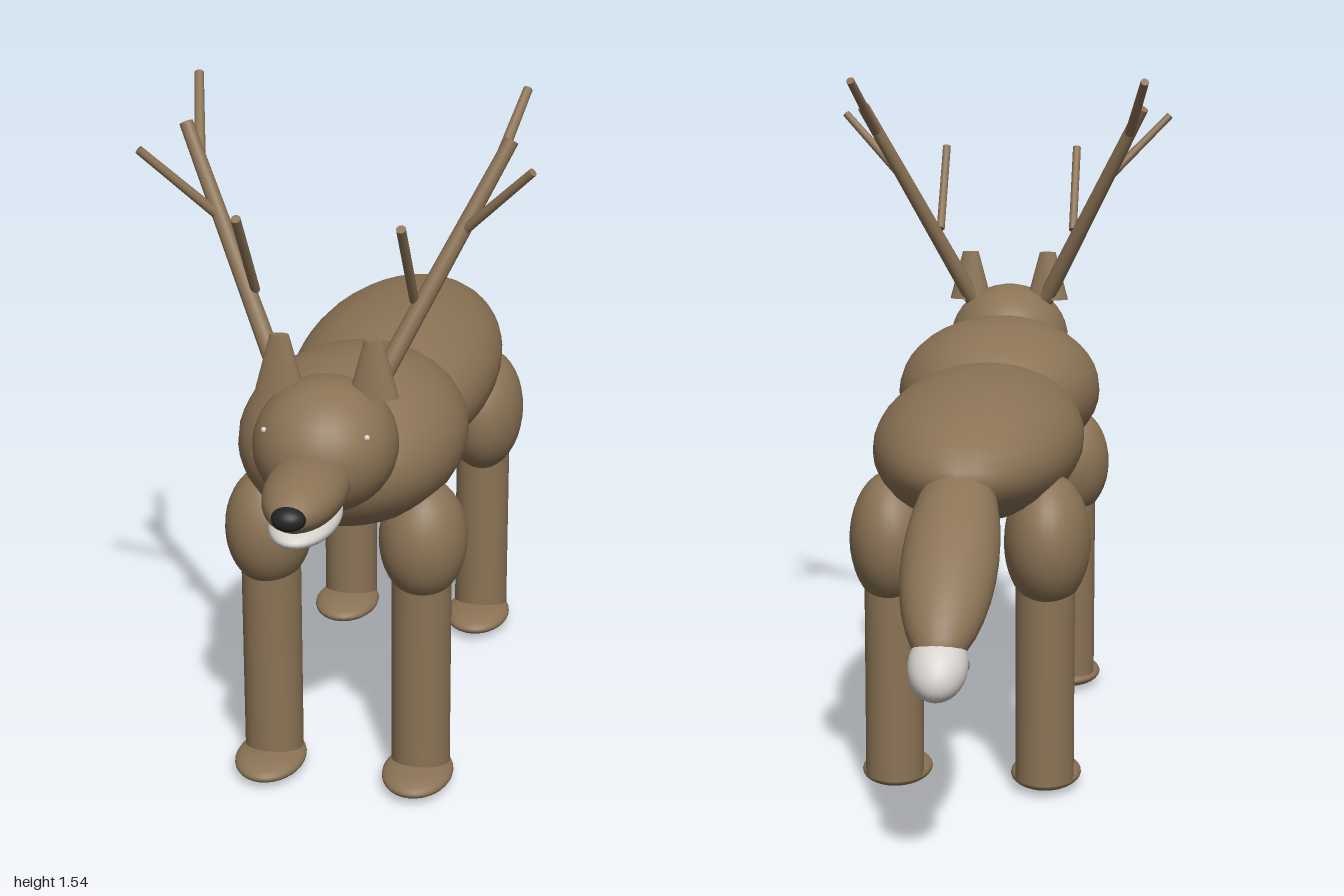
import * as THREE from 'three';

export function createModel() {
  const root = new THREE.Group();
  const mat = (name, color) => {
    const m = new THREE.MeshStandardMaterial({ color });
    m.name = name;
    return m;
  };
  const brown = mat('brown fur', 0x8b7355);
  const white = mat('pale fur', 0xd6d2cd);
  const black = mat('nose black', 0x242424);

  const add = (name, geo, material, parent = root) => {
    const mesh = new THREE.Mesh(geo, material);
    mesh.name = name;
    parent.add(mesh);
    return mesh;
  };

  // Ellipsoid from centre and radii, with optional pitch about x
  const ball = (name, material, [x, y, z], [rx, ry, rz], pitch = 0, parent = root) => {
    const geo = new THREE.SphereGeometry(1, 32, 20).scale(rx, ry, rz);
    const mesh = add(name, geo, material, parent);
    mesh.position.set(x, y, z);
    mesh.rotation.x = pitch;
    return mesh;
  };

  // Tapered rod between two points
  const rod = (name, from, to, r0, r1, parent) => {
    const a = new THREE.Vector3(...from), b = new THREE.Vector3(...to);
    const dir = b.clone().sub(a);
    const mesh = add(name, new THREE.CylinderGeometry(r1, r0, dir.length(), 12), brown, parent);
    mesh.position.copy(a).addScaledVector(dir, 0.5);
    mesh.quaternion.setFromUnitVectors(new THREE.Vector3(0, 1, 0), dir.normalize());
  };

  // Trunk
  ball('body', brown, [0, 0.745, -0.1], [0.235, 0.155, 0.5]);
  ball('chest', brown, [0, 0.778, 0.38], [0.245, 0.175, 0.32]);
  ball('belly', white, [0, 0.69, 0.15], [0.171, 0.1, 0.4]);

  // Head
  ball('head', brown, [0, 0.86, 0.65], [0.15, 0.14, 0.16]);
  ball('snout', brown, [0, 0.832, 0.82], [0.083, 0.062, 0.168]);
  ball('jaw', white, [0, 0.773, 0.83], [0.07, 0.03, 0.135]);
  ball('nose', black, [0, 0.834, 0.97], [0.035, 0.025, 0.03]);

  // Tail, sloping down and back
  const slope = -0.54;
  ball('tail', brown, [0, 0.615, -0.7], [0.1, 0.085, 0.295], slope);
  ball('tailTip', white, [0, 0.453, -0.923], [0.06, 0.055, 0.085], slope);

  for (const s of [1, -1]) {
    const side = s > 0 ? 'left' : 'right';

    // Eye and ear
    ball(side + 'Eye', white, [s * 0.106, 0.918, 0.742], [0.006, 0.006, 0.006]);
    const ear = add(side + 'Ear', new THREE.CylinderGeometry(0.02, 0.052, 0.12, 20), brown);
    ear.scale.z = 0.5;
    ear.position.set(s * 0.098, 1.025, 0.635);

    // Antler with three tines
    const antler = new THREE.Group();
    antler.name = side + 'Antler';
    root.add(antler);
    rod('beam', [s * 0.085, 0.95, 0.635], [s * 0.34, 1.46, 0.432], 0.021, 0.015, antler);
    rod('frontTine', [s * 0.166, 1.15, 0.56], [s * 0.166, 1.345, 0.7], 0.01, 0.01, antler);
    rod('outerTine', [s * 0.25, 1.28, 0.5], [s * 0.403, 1.435, 0.565], 0.011, 0.009, antler);
    rod('topTine', [s * 0.31, 1.4, 0.44], [s * 0.35, 1.53, 0.29], 0.012, 0.01, antler);

    // Legs: upper mass, straight shank, flat foot
    const legs = [
      ['Front', 0.47, 0.505, 0.47, [0.58, 0.135, 0.105]],
      ['Hind', -0.335, -0.287, -0.32, [0.565, 0.15, 0.13]],
    ];
    for (const [end, zLeg, zFoot, zTop, [yTop, ryTop, rzTop]] of legs) {
      const leg = new THREE.Group();
      leg.name = side + end + 'Leg';
      root.add(leg);
      ball('upperLeg', brown, [s * 0.17, yTop, zTop], [0.095, ryTop, rzTop], 0, leg);
      const shank = add('shank', new THREE.CylinderGeometry(0.065, 0.065, 0.46, 24), brown, leg);
      shank.position.set(s * 0.167, 0.26, zLeg);
      ball('foot', brown, [s * 0.167, 0.0275, zFoot], [0.078, 0.0275, 0.11], 0, leg);
    }
  }
  return root;
}
